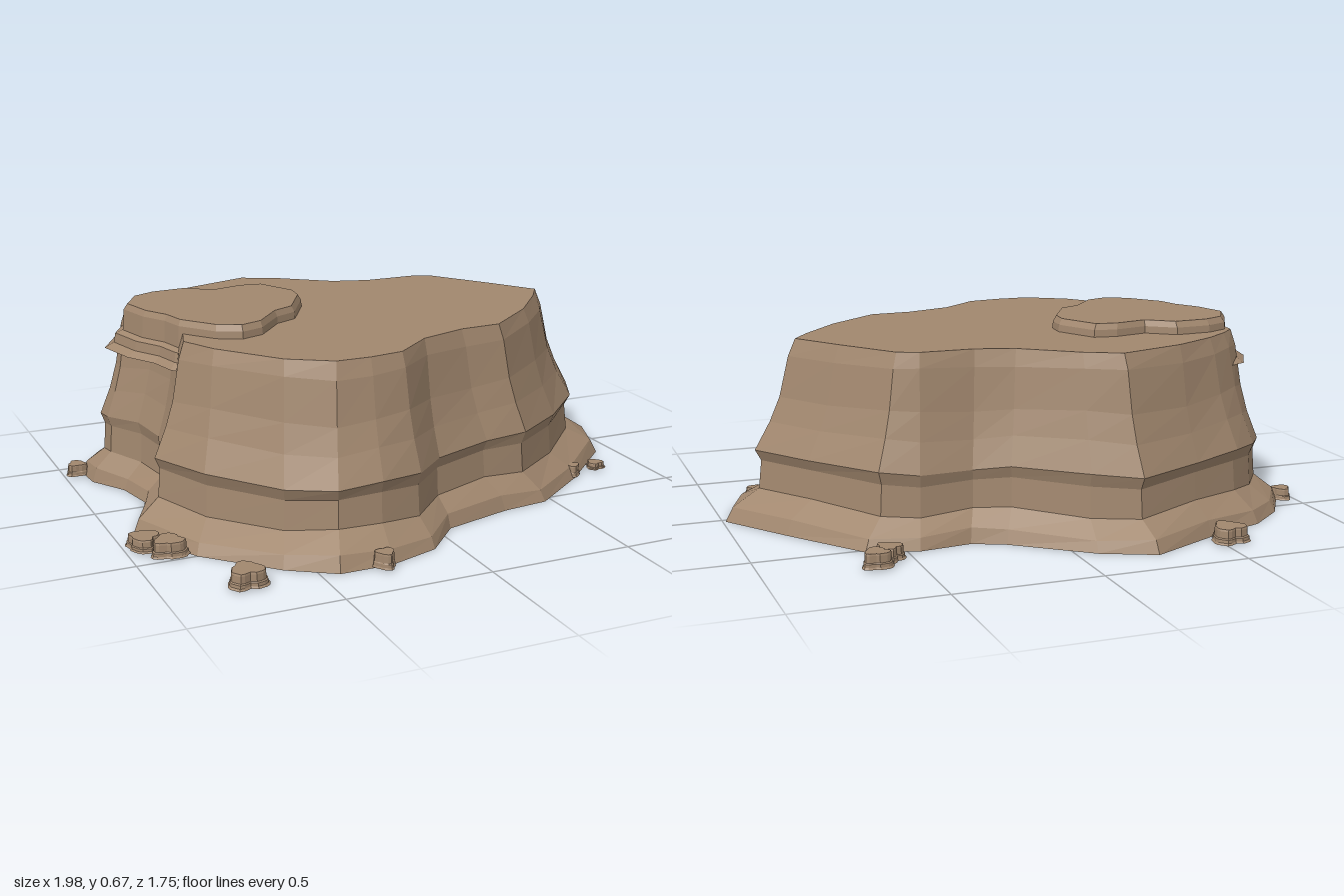
import * as THREE from 'three';

// Mesa plan: ground x, z, then rim x, z for each column of the cliff
const PLAN = [
  [0.99, -0.02, 0.73, -0.02], [0.93, 0.14, 0.67, 0.07], [0.70, 0.36, 0.53, 0.24], [0.47, 0.53, 0.34, 0.40],
  [0.30, 0.55, 0.19, 0.41], [0.05, 0.62, 0.02, 0.47], [-0.08, 0.76, -0.12, 0.59], [-0.26, 0.82, -0.24, 0.61],
  [-0.44, 0.82, -0.36, 0.61], [-0.59, 0.72, -0.50, 0.52], [-0.80, 0.50, -0.66, 0.31], [-0.93, 0.23, -0.72, 0.18],
  [-0.86, 0.09, -0.69, 0.08], [-0.81, -0.04, -0.67, -0.04], [-0.84, -0.19, -0.70, -0.18], [-0.92, -0.32, -0.77, -0.30],
  [-0.93, -0.43, -0.76, -0.36], [-0.85, -0.56, -0.70, -0.42], [-0.72, -0.67, -0.61, -0.49], [-0.50, -0.75, -0.45, -0.58],
  [-0.25, -0.87, -0.21, -0.66], [-0.07, -0.79, -0.09, -0.60], [0.17, -0.60, 0.09, -0.46], [0.28, -0.55, 0.22, -0.42],
  [0.46, -0.57, 0.41, -0.42], [0.63, -0.52, 0.48, -0.39], [0.83, -0.25, 0.62, -0.19],
];

// Cliff profile: height, spread from rim (0) to ground (1), height wobble
const CLIFF = [
  [0, 1, 0], [0.045, 0.9, 0.008], [0.1, 0.54, 0.01], [0.2, 0.5, 0.008], [0.24, 0.58, 0.008],
  [0.34, 0.37, 0.01], [0.43, 0.23, 0.01], [0.57, 0.1, 0.005], [0.625, 0, 0],
];

// Lobed outline of the upper slab, around its own centre
const LOBE = [
  [-0.03, -0.30], [0.06, -0.23], [0.18, -0.26], [0.26, -0.25], [0.33, -0.10], [0.32, -0.02], [0.23, 0.14],
  [0.15, 0.18], [0.05, 0.30], [-0.03, 0.33], [-0.11, 0.29], [-0.20, 0.17], [-0.22, 0.08], [-0.27, -0.01],
  [-0.30, -0.14], [-0.24, -0.25], [-0.16, -0.29],
];

// Slab profile: height fraction, outline scale
const TIERS = [[0, 1.22], [0.13, 1.12], [0.34, 1.1], [0.41, 1.02], [0.87, 1], [1, 0.96]];

// Loose rocks: x, z, radius, height, turn
const ROCKS = [
  [-0.53, -0.81, 0.06, 0.05, 0.3], [-0.95, -0.42, 0.037, 0.04, 1.2], [0.64, -0.68, 0.046, 0.05, 2.2],
  [0.58, -0.62, 0.046, 0.045, 0.8], [0.82, 0.30, 0.033, 0.022, 3.5], [0.70, 0.34, 0.028, 0.04, 1.9],
  [-0.29, 0.83, 0.035, 0.05, 0.2], [-0.73, 0.77, 0.06, 0.05, 3.3], [-0.935, 0.36, 0.055, 0.04, 4.1],
  [-0.88, 0.45, 0.055, 0.05, 5.2],
];

// Skin a stack of rings (lowest first) and close the last one; the underside stays open
function loft(rings) {
  const n = rings[0].length;
  const index = [];
  for (let i = 0; i < rings.length - 1; i++) {
    for (let j = 0; j < n; j++) {
      const a = i * n + j, b = i * n + (j + 1) % n;
      index.push(a, a + n, b, b, a + n, b + n);
    }
  }
  const top = rings[rings.length - 1].map(([x, , z]) => new THREE.Vector2(x, z));
  const base = (rings.length - 1) * n;
  for (const [a, b, c] of THREE.ShapeUtils.triangulateShape(top, [])) {
    const up = THREE.ShapeUtils.area([top[a], top[b], top[c]]) < 0;
    index.push(base + a, base + (up ? b : c), base + (up ? c : b));
  }
  const geometry = new THREE.BufferGeometry();
  geometry.setAttribute('position', new THREE.Float32BufferAttribute(rings.flat(2), 3));
  geometry.setIndex(index);
  const flat = geometry.toNonIndexed();
  flat.computeVertexNormals();
  return flat;
}

export function createModel() {
  const group = new THREE.Group();
  const sandstone = new THREE.MeshStandardMaterial({ color: 0xa1876e, flatShading: true, side: THREE.DoubleSide });
  sandstone.name = 'sandstone';

  const add = (name, geometry) => {
    const mesh = new THREE.Mesh(geometry, sandstone);
    mesh.name = name;
    group.add(mesh);
    return mesh;
  };

  // Main cliff with flared foot, ledge and flat top
  add('mesa', loft(CLIFF.map(([y, t, wobble], i) => PLAN.map(([ox, oz, tx, tz], j) => [
    tx + (ox - tx) * t,
    y + wobble * Math.sin(j * 1.7 + i * 0.6),
    tz + (oz - tz) * t,
  ]))));

  // Lobed slab shared by the upper step and the rocks
  const slab = loft(TIERS.map(([y, s]) => LOBE.map(([x, z]) => [x * s, y, z * s])));

  const upper = add('upperSlab', slab);
  upper.position.set(-0.5, 0.51, -0.1);
  upper.scale.set(1, 0.16, 1);

  // Loose rocks around the foot
  for (const [x, z, radius, height, turn] of ROCKS) {
    const rock = add('looseRock', slab);
    rock.position.set(x, 0.005, z);
    rock.scale.set(radius / 0.34, height, radius / 0.34);
    rock.rotation.y = turn;
  }
  return group;
}
